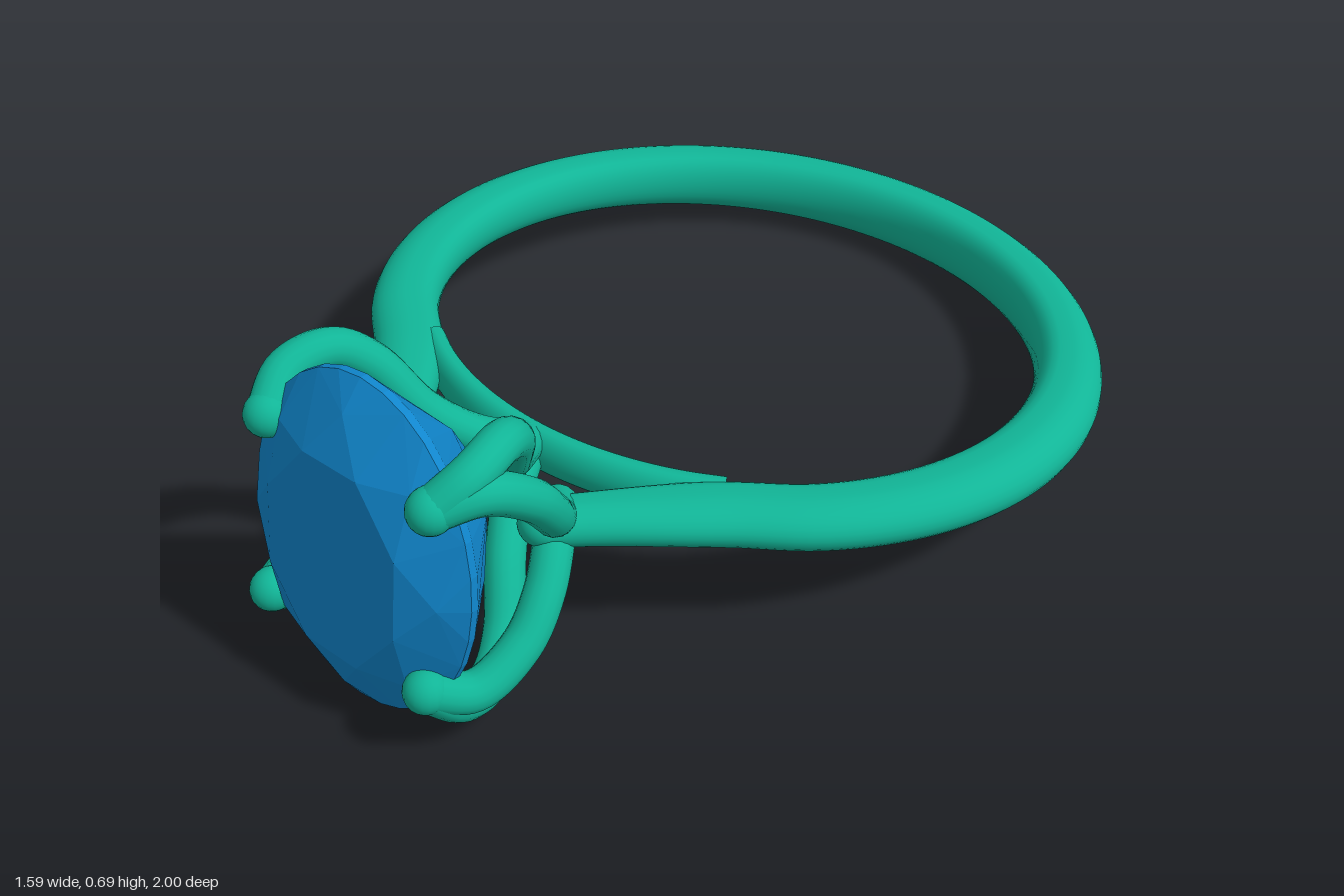
import * as THREE from 'three';
import { ConvexGeometry } from 'three/addons/geometries/ConvexGeometry.js';

const V = (x, y, z) => new THREE.Vector3(x, y, z);
const metal = new THREE.MeshStandardMaterial({ color: 0x11b597 });
const gem = new THREE.MeshStandardMaterial({ color: 0x1086cc, flatShading: true });

function add(parent, name, geometry, material = metal) {
  const mesh = new THREE.Mesh(geometry, material);
  mesh.name = name;
  parent.add(mesh);
  return mesh;
}

// Sweep a flat-backed oval along a level path; size(p) gives [half width, half height]
function sweepBand(points, size, steps, sides = 28) {
  const curve = new THREE.CatmullRomCurve3(points);
  const up = V(0, 1, 0), pos = [], index = [];
  for (let i = 0; i <= steps; i++) {
    const p = curve.getPointAt(i / steps);
    const out = up.clone().cross(curve.getTangentAt(i / steps)).normalize();
    const [a, b] = size(p);
    for (let j = 0; j < sides; j++) {
      const t = (j / sides) * Math.PI * 2, c = Math.cos(t);
      const r = a * (c < 0 ? -Math.pow(-c, 0.6) : c);
      pos.push(p.x + out.x * r, p.y + b * Math.sin(t), p.z + out.z * r);
      if (i < steps) {
        const k = i * sides + j, k1 = i * sides + ((j + 1) % sides);
        index.push(k, k1, k + sides, k1, k1 + sides, k + sides);
      }
    }
  }
  const g = new THREE.BufferGeometry();
  g.setAttribute('position', new THREE.Float32BufferAttribute(pos, 3));
  g.setIndex(index);
  g.computeVertexNormals();
  return g;
}

// Oval faceted stone: stacked elliptical rings wrapped in a convex hull
function stoneGeometry() {
  const pts = [V(0, 0.06, 0.85), V(0, -0.06, 0.85)];
  const ring = (n, scale, z, shift = 0) => {
    for (let i = 0; i < n; i++) {
      const a = ((i + shift) / n) * Math.PI * 2;
      pts.push(V(Math.sin(a) * 0.27 * scale, Math.cos(a) * 0.348 * scale, z));
    }
  };
  ring(8, 0.63, 1.195, 0.5); // table
  ring(8, 0.84, 1.163);      // crown
  ring(32, 1, 1.122);        // girdle
  ring(32, 1, 1.106);
  ring(8, 0.62, 0.965, 0.5); // pavilion
  return new ConvexGeometry(pts);
}

export function createModel() {
  const model = new THREE.Group();
  model.name = 'ring';

  // Everything is built level around the finger axis, then tipped back
  const body = new THREE.Group();
  body.name = 'tiltedRing';
  body.position.set(0, 0.2, -0.22);
  body.rotation.x = THREE.MathUtils.degToRad(-8);
  model.add(body);

  // Band with shoulders that leave the circle and run to the setting
  const shoulder = [[0.19, 0.85], [0.29, 0.73], [0.41, 0.6]];
  const path = shoulder.map(([x, z]) => V(-x, 0, z));
  for (let i = 0; i <= 24; i++) {
    const a = -0.83 - (i / 24) * (Math.PI * 2 - 1.66);
    path.push(V(Math.sin(a) * 0.725, 0, Math.cos(a) * 0.725));
  }
  path.push(...shoulder.map(([x, z]) => V(x, 0, z)).reverse());
  const bandSize = (p) => {
    const t = THREE.MathUtils.clamp((p.z + 0.72) / 1.4, 0, 1);
    const end = THREE.MathUtils.smoothstep(p.z, 0.6, 0.86);
    return [0.072 - 0.022 * end, 0.076 - 0.028 * t - 0.005 * end];
  };
  add(body, 'band', sweepBand(path, bandSize, 160));

  // Thin bridge closing the finger hole under the setting
  const bridge = [];
  for (let i = 0; i <= 10; i++) {
    const a = 0.6 - 0.12 * i;
    bridge.push(V(Math.sin(a) * 0.677, 0, Math.cos(a) * 0.677));
  }
  add(body, 'bridge', sweepBand(bridge, () => [0.029, 0.046], 40));

  // Four claws, each a petal of two wires meeting in a round tip
  const tip = [0.2, 0.195, 1.155];
  const wires = {
    outerWire: [[0, 0.01, 0.69], [0.05, 0.045, 0.78], [0.11, 0.11, 0.86], [0.175, 0.215, 0.93],
      [0.21, 0.26, 1.0], [0.226, 0.245, 1.09], tip],
    sideWire: [[0.17, 0, 0.79], [0.215, 0.03, 0.85], [0.25, 0.09, 0.91], [0.264, 0.16, 0.98],
      [0.246, 0.215, 1.08], tip],
  };
  for (const sx of [1, -1]) {
    add(body, 'shoulderEnd', new THREE.SphereGeometry(1, 24, 16)).scale.set(0.05, 0.043, 0.05);
    body.children.at(-1).position.set(sx * 0.19, 0, 0.85);
    for (const sy of [1, -1]) {
      const claw = new THREE.Group();
      claw.name = 'claw';
      body.add(claw);
      for (const [name, pts] of Object.entries(wires)) {
        const curve = new THREE.CatmullRomCurve3(pts.map(([x, y, z]) => V(sx * x, sy * y, z)));
        add(claw, name, new THREE.TubeGeometry(curve, 48, 0.039, 16));
      }
      add(claw, 'clawTip', new THREE.SphereGeometry(0.043, 20, 14)).position.set(sx * tip[0], sy * tip[1], tip[2]);
    }
  }

  add(body, 'stone', stoneGeometry(), gem);
  return model;
}
